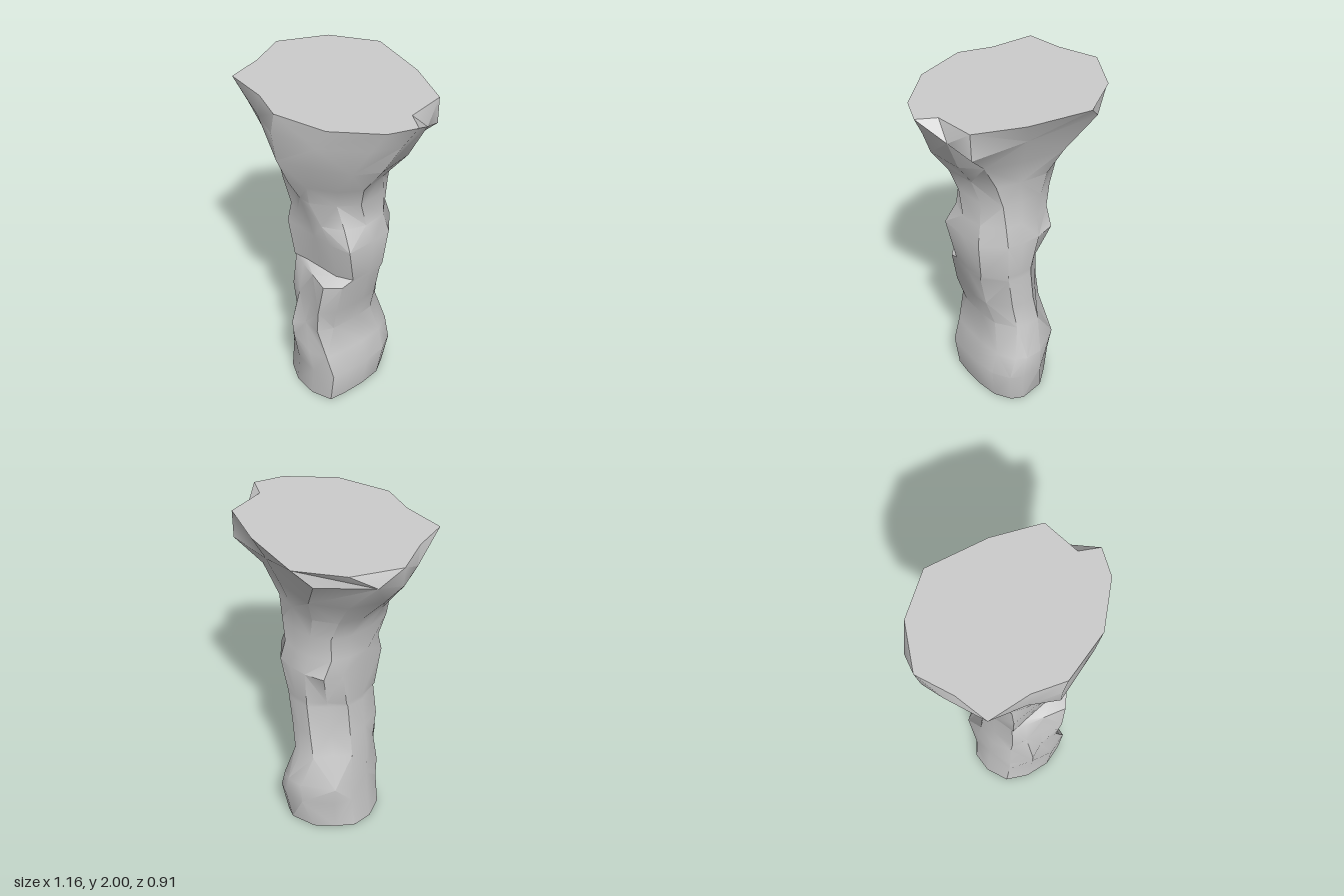
import * as THREE from 'three';
import { toCreasedNormals } from 'three/addons/utils/BufferGeometryUtils.js';

// Cross-sections as corners [x, z] in -1..1, from +x round by the front
const FOOT = [[1, -0.05], [1, 0.45], [0.96, 0.83], [0.43, 1], [-0.2, 0.97], [-0.74, 0.76], [-1, 0.3],
  [-1, -0.15], [-0.7, -0.51], [-0.3, -0.85], [0.35, -1], [0.65, -0.89], [0.91, -0.55]];
const BELOW_LEDGE = [[1, -0.1], [0.97, 0.67], [0.66, 1], [0.08, 0.88], [-0.42, 0.79], [-0.82, 0.71], [-1, 0.2],
  [-0.98, -0.25], [-0.64, -0.61], [-0.28, -0.96], [0.05, -1], [0.4, -0.97], [0.93, -0.5]];
const ABOVE_LEDGE = [[1, -0.03], [1, 0.58], [0.6, 0.82], [0.07, 0.88], [-0.42, 0.94], [-0.82, 1], [-1, 0.35],
  [-0.98, -0.2], [-0.64, -0.57], [-0.28, -0.96], [0.05, -1], [0.4, -0.97], [0.93, -0.5]];
const NECK = [[1, 0.15], [0.7, 0.57], [0.21, 0.94], [-0.07, 0.97], [-0.45, 0.85], [-0.88, 0.8], [-1, 0.15],
  [-0.96, -0.36], [-0.8, -0.75], [-0.4, -0.98], [0.13, -1], [0.58, -0.94], [0.9, -0.55]];
const CROWN = [[1, -0.04], [0.9, 0.31], [0.53, 0.78], [0.02, 1], [-0.31, 0.88], [-0.74, 0.86], [-0.83, 0.42],
  [-1, -0.04], [-0.78, -0.62], [-0.37, -1], [0.26, -0.88], [0.74, -0.66], [0.81, -0.16]];
const SECTIONS = [FOOT, BELOW_LEDGE, ABOVE_LEDGE, NECK, CROWN];
const N = FOOT.length;

// Levels: y, min x, max x, min z, max z, position along SECTIONS
const LEVELS = [
  [0, -0.26, 0.2, -0.25, 0.285, 0],
  [0.2, -0.24, 0.23, -0.28, 0.29, 0],
  [0.33, -0.23, 0.19, -0.28, 0.3, 0.1],
  [0.52, -0.22, 0.165, -0.22, 0.3, 0.6],
  [0.68, -0.2, 0.215, -0.205, 0.3, 0.9],
  [0.875, -0.19, 0.255, -0.205, 0.28, 1],
  [0.905, -0.19, 0.26, -0.205, 0.22, 2],
  [1.14, -0.21, 0.29, -0.24, 0.26, 2.2],
  [1.25, -0.22, 0.265, -0.21, 0.27, 2.5],
  [1.4, -0.23, 0.265, -0.215, 0.3, 3],
  [1.53, -0.29, 0.31, -0.225, 0.37, 3.25],
  [1.7, -0.43, 0.43, -0.3, 0.44, 3.6],
  [1.87, -0.56, 0.51, -0.39, 0.455, 3.9],
  [2, -0.58, 0.58, -0.457, 0.455, 4],
];

// Chipped and bulging corners: level, corner, then x, y, z offsets
const CHIPS = [
  [1, 8, -0.03, 0, 0], [1, 9, 0.02, 0, -0.03], [2, 8, -0.055, 0, -0.01], [2, 9, 0.03, 0, -0.03],
  [2, 4, 0, 0.05, 0.02], [3, 4, 0.02, -0.04, 0.05], [3, 5, 0.02, 0, -0.02], [3, 8, 0.01, 0, 0.01],
  [4, 3, 0, 0, -0.02], [5, 5, 0, 0.015, 0], [6, 5, 0, -0.01, 0],
  [7, 1, 0.02, 0, 0.03], [7, 7, 0, 0, -0.03], [7, 8, -0.04, 0, -0.05], [7, 9, -0.02, 0, 0],
  [8, 5, 0.02, 0, -0.02], [8, 8, -0.02, 0, -0.01],
  [10, 4, 0.02, 0, -0.04], [10, 5, 0.04, 0, -0.04], [10, 2, 0, 0, -0.02],
  [11, 4, 0, 0, -0.04], [11, 5, 0.1, 0, -0.06], [11, 2, 0, 0, -0.03], [11, 12, 0.03, 0, -0.08],
  [12, 5, 0.09, 0, -0.035], [12, 6, -0.04, 0.04, -0.06], [12, 8, -0.1, 0.05, 0.07],
  [12, 9, -0.08, 0.04, 0], [12, 12, 0.07, 0.03, -0.12], [12, 11, 0.06, -0.03, -0.045],
];

function makeRings() {
  const rings = LEVELS.map(([y, x0, x1, z0, z1, s]) => {
    const k = Math.min(Math.floor(s), SECTIONS.length - 2);
    return SECTIONS[k].map(([ax, az], j) => {
      const [bx, bz] = SECTIONS[k + 1][j];
      const u = THREE.MathUtils.lerp(ax, bx, s - k);
      const v = THREE.MathUtils.lerp(az, bz, s - k);
      return new THREE.Vector3((x0 + x1 + (x1 - x0) * u) / 2, y, (z0 + z1 + (z1 - z0) * v) / 2);
    });
  });
  for (const [i, j, x, y, z] of CHIPS) rings[i][j].add(new THREE.Vector3(x, y, z));
  return rings;
}

// Flat end face closing a ring
function makeCap(ring, up) {
  const points = [];
  const centre = new THREE.Vector3(0, ring[0].y, 0);
  ring.forEach((p, j) => {
    const q = ring[(j + 1) % N];
    points.push(centre, up ? q : p, up ? p : q);
  });
  const geometry = new THREE.BufferGeometry().setFromPoints(points);
  geometry.computeVertexNormals();
  return geometry;
}

// Side surface joining the rings
function makeSides(rings) {
  const geometry = new THREE.BufferGeometry().setFromPoints(rings.flat());
  const index = [];
  for (let i = 0; i < rings.length - 1; i++) {
    for (let j = 0; j < N; j++) {
      const a = i * N + j, b = i * N + (j + 1) % N, c = a + N, d = b + N;
      if ((i + j) % 2) index.push(a, c, b, b, c, d);
      else index.push(a, c, d, a, d, b);
    }
  }
  geometry.setIndex(index);
  return toCreasedNormals(geometry, 0.6);
}

export function createModel() {
  const group = new THREE.Group();
  group.name = 'rockPillar';
  const material = new THREE.MeshStandardMaterial({ color: 0xcccccc });
  const add = (name, geometry) => {
    const mesh = new THREE.Mesh(geometry, material);
    mesh.name = name;
    group.add(mesh);
  };
  const rings = makeRings();
  add('rockShaft', makeSides(rings));
  add('topFace', makeCap(rings[rings.length - 1], true));
  add('bottomFace', makeCap(rings[0], false));
  return group;
}
